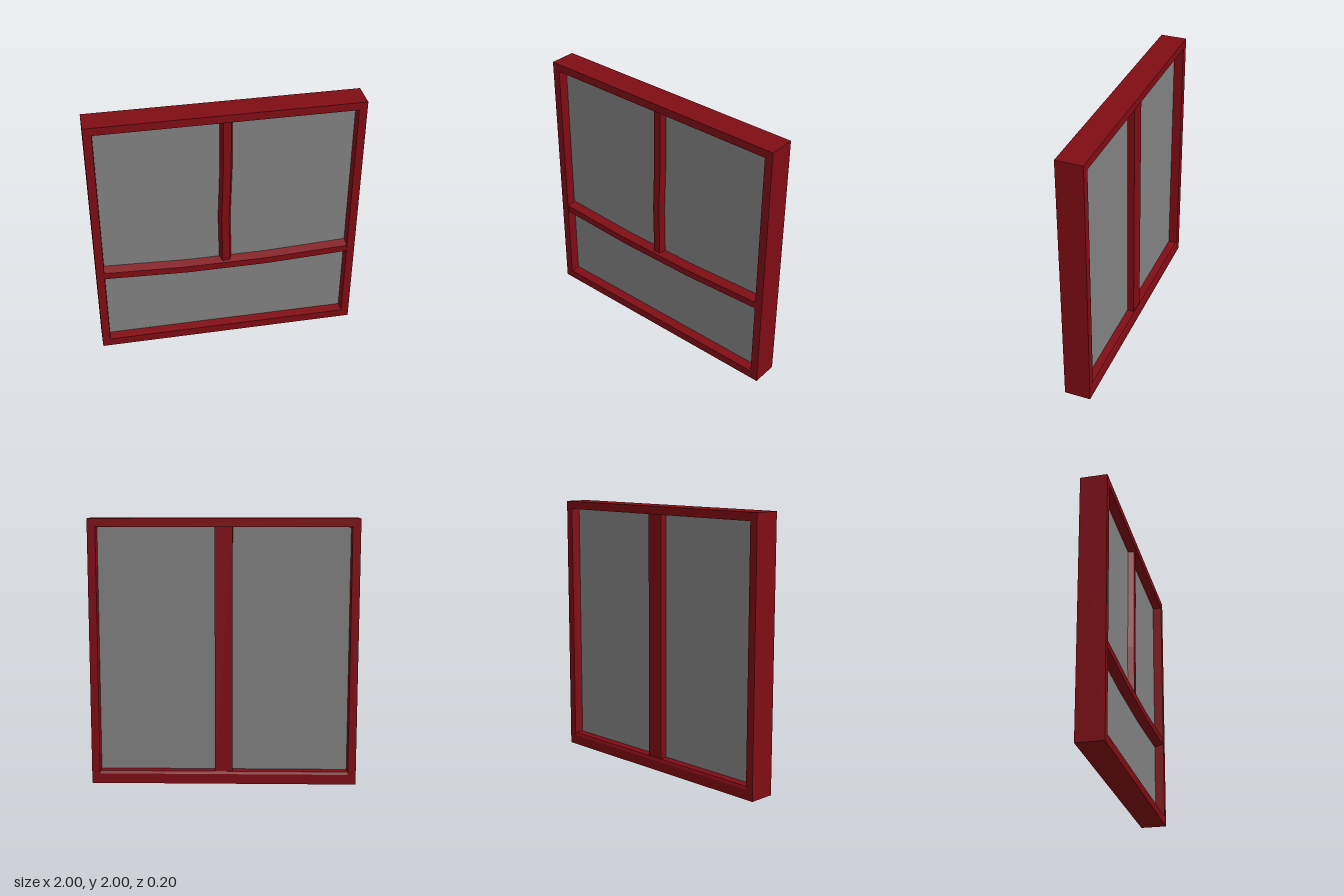
import * as THREE from 'three';

const red = new THREE.MeshStandardMaterial({ color: 0x800c14, flatShading: true });
const grey = new THREE.MeshStandardMaterial({ color: 0x828282, flatShading: true });

// Skins a run of closed cross-sections (equal numbers of [x, y, z] points) with quads.
function loft(name, sections) {
  const pos = [];
  for (let s = 0; s < sections.length - 1; s++) {
    const a = sections[s], b = sections[s + 1], n = a.length;
    for (let i = 0; i < n; i++) {
      const j = (i + 1) % n;
      for (const p of [a[i], a[j], b[j], a[i], b[j], b[i]]) pos.push(...p);
    }
  }
  const geometry = new THREE.BufferGeometry();
  geometry.setAttribute('position', new THREE.Float32BufferAttribute(pos, 3));
  geometry.computeVertexNormals();
  const mesh = new THREE.Mesh(geometry, red);
  mesh.name = name;
  return mesh;
}

function box(name, w, h, d, x, y, z, material) {
  const mesh = new THREE.Mesh(new THREE.BoxGeometry(w, h, d), material);
  mesh.position.set(x, y, z);
  mesh.name = name;
  return mesh;
}

// Rectangle of half width w from y0 to y1 at depth z
const ring = (w, y0, y1, z) => [[-w, y0, z], [w, y0, z], [w, y1, z], [-w, y1, z]];

export function createModel() {
  const group = new THREE.Group();

  // Outer frame, its opening narrowing slightly towards the panel, with a raised sill at the back
  const outerBack = ring(1, 0, 2, -0.1);
  group.add(loft('frame', [
    outerBack,
    ring(1, 0, 2, 0.1),
    ring(0.94, 0.065, 1.94, 0.1),
    ring(0.935, 0.073, 1.935, 0.03),
    ring(0.935, 0.098, 1.935, -0.03),
    ring(0.939, 0.095, 1.939, -0.09),
    ring(0.94, 0.075, 1.94, -0.1),
    outerBack,
  ]));

  // Infill panel
  group.add(box('panel', 1.9, 1.9, 0.06, 0, 1, 0, grey));

  // Sagging crossbar with a tapered profile: [x, centre height]
  const sag = [[-0.95, 0.702], [-0.31, 0.673], [0.31, 0.673], [0.95, 0.702]];
  group.add(loft('crossbar', sag.map(([x, y]) => [
    [x, y + 0.053, 0.01], [x, y + 0.027, 0.095],
    [x, y - 0.027, 0.095], [x, y - 0.055, 0.01],
  ])));

  // Slightly bent upright above the crossbar: [height, sideways shift]
  const bend = [[0.67, -0.006], [1.1, -0.014], [1.55, 0], [1.95, 0]];
  group.add(loft('frontUpright', bend.map(([y, x]) => [
    [x - 0.056, y, 0.01], [x - 0.028, y, 0.075],
    [x + 0.028, y, 0.075], [x + 0.054, y, 0.01],
  ])));

  // Straight full-height upright on the back
  group.add(box('backUpright', 0.132, 1.9, 0.075, 0, 1, -0.045, red));

  return group;
}
